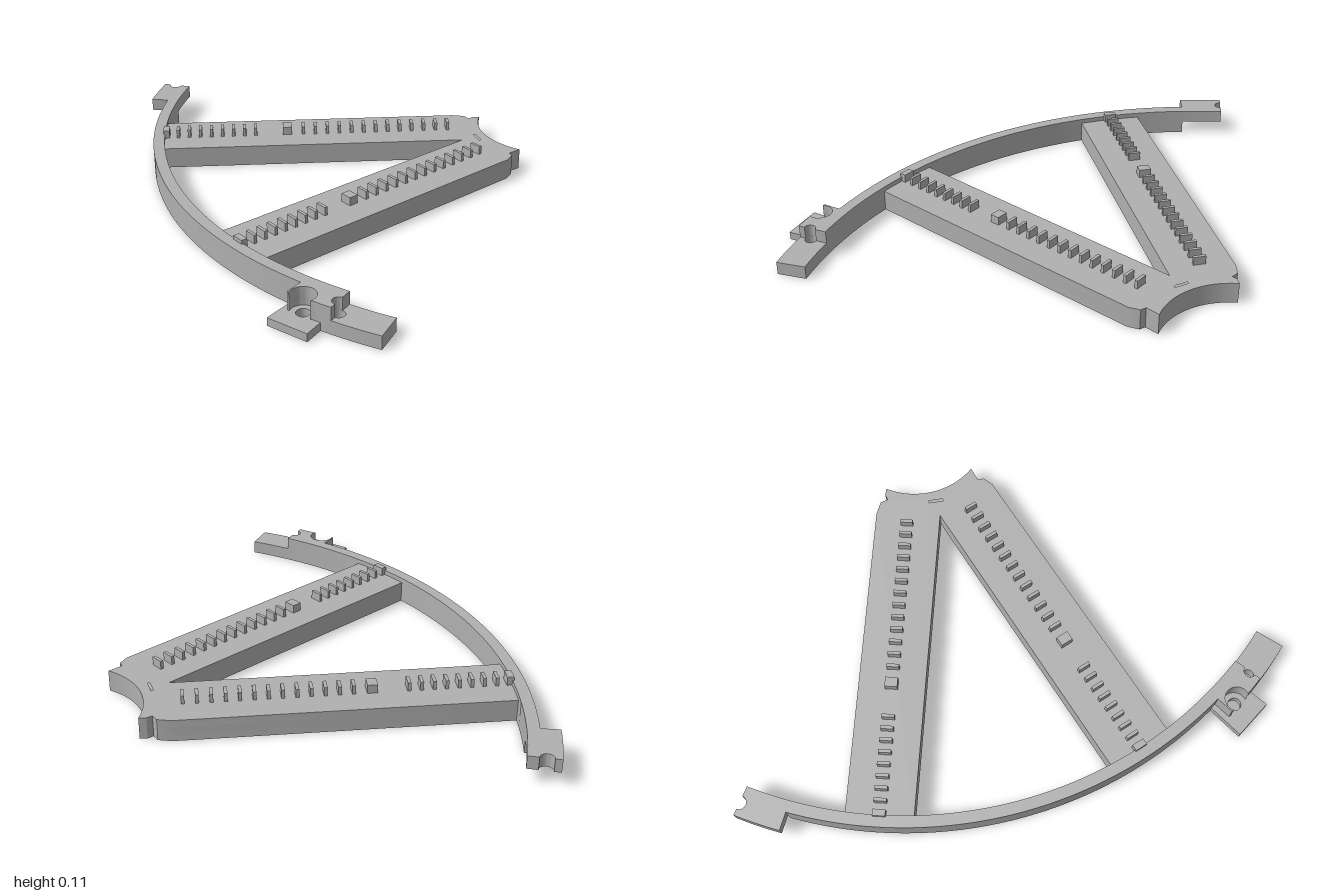
import * as THREE from 'three';
import { toCreasedNormals } from 'three/addons/utils/BufferGeometryUtils.js';

const RAD = Math.PI / 180;
const CX = 0.87, CZ = -0.36; // common centre of rim, hub and spokes
const R_IN = 1.528, R_OUT = 1.571, R_WIDE = 1.638;
const SPOKES = [-5.1, 31.2]; // spoke directions in degrees

// Polar position about the centre: 0 degrees points to -x, positive turns to +z
const polar = (r, deg) => [CX - r * Math.cos(deg * RAD), CZ + r * Math.sin(deg * RAD)];

function arc(r, a0, a1, n = 24) {
  return Array.from({ length: n + 1 }, (_, i) => polar(r, a0 + (a1 - a0) * i / n));
}

// Small circular arc around a polar position
function bite(rc, ac, rho, t0, t1, n = 20) {
  return Array.from({ length: n + 1 }, (_, i) => {
    const t = (t0 + (t1 - t0) * i / n) * RAD;
    return polar(rc + rho * Math.cos(t), ac + rho * Math.sin(t) / rc / RAD);
  });
}

// Position in a spoke's own frame: u outwards from the centre, v across
function spokePoint(deg, u, v) {
  const c = Math.cos(deg * RAD), s = Math.sin(deg * RAD);
  return [CX - u * c + v * s, CZ + u * s + v * c];
}

const toPoints = (list) => list.map(([x, z]) => new THREE.Vector2(x, -z));

// Upright slab with a plan outline and holes, from y0 to y1
function slab(outline, y0, y1, holes = []) {
  const shape = new THREE.Shape(toPoints(outline));
  holes.forEach((h) => shape.holes.push(new THREE.Path(toPoints(h))));
  const g = new THREE.ExtrudeGeometry(shape, { depth: y1 - y0, bevelEnabled: false });
  g.rotateX(-Math.PI / 2).translate(0, y0, 0);
  return toCreasedNormals(g, 0.4);
}

export function createModel() {
  const model = new THREE.Group();
  const grey = new THREE.MeshStandardMaterial({ color: 0xb0b0b0 });
  grey.name = 'grey';
  const add = (name, geometry, parent = model) => {
    const mesh = new THREE.Mesh(geometry, grey);
    mesh.name = name;
    parent.add(mesh);
    return mesh;
  };

  // Curved rim
  add('rim', slab([...arc(R_IN, -17.05, 45, 64), ...arc(R_OUT, 45, -17.05, 64)], 0, 0.098));

  // Raised rear connector with a half-round notch in its end
  add('rearConnector', slab([
    ...arc(R_IN, -17.05, -23.1, 8),
    ...bite(1.59, -23.1, 0.024, 180, 0),
    ...arc(R_WIDE, -23.1, -17.05, 8),
  ], 0.05, 0.098));

  // Front connector: low tongue, upper block and side tab around a round pocket
  const pocket = bite(1.622, 45.35, 0.045, 66.4, 293.6);
  const pinHole = bite(1.593, 49.4, 0.022, 0, 342, 19);
  add('frontTongue', slab([
    ...arc(R_IN, 43.6, 55.5, 12), ...arc(R_WIDE, 55.5, 47, 8), ...pocket, polar(R_WIDE, 43.6),
  ], 0, 0.05, [pinHole]));
  add('frontBlock', slab([
    ...arc(R_IN, 43.6, 49.4, 8),
    ...bite(1.593, 49.4, 0.022, 180, 360),
    ...arc(R_WIDE, 49.4, 47, 4), ...pocket, polar(R_WIDE, 43.6),
  ], 0.05, 0.098));
  add('frontTab', slab([
    polar(1.56, 42.85), polar(1.56, 48.05), polar(1.711, 48.05), polar(1.711, 42.85),
  ], 0, 0.03, [bite(1.622, 45.35, 0.024, 0, 342, 19)]));

  // Two spokes joined at a concave hub, hollow underneath
  const [a, b] = SPOKES;
  const outline = [
    spokePoint(a, 1.545, -0.122), [0.519, -0.513], [0.566, -0.497], [0.577, -0.471], [0.598, -0.48],
    ...arc(0.272, -25.2, 51.3),
    [0.651, -0.122], [0.656, -0.1], [0.63, -0.067],
    spokePoint(b, 1.545, 0.122), spokePoint(b, 1.545, -0.122),
    [0.503, -0.27], spokePoint(a, 1.545, 0.122),
  ];
  const slot = [[0.558, -0.312], [0.567, -0.312], [0.574, -0.258], [0.565, -0.258]];
  const channels = SPOKES.map((d) => [
    spokePoint(d, 0.355, -0.098), spokePoint(d, 1.5, -0.098),
    spokePoint(d, 1.5, 0.098), spokePoint(d, 0.355, 0.098),
  ]);
  add('spokeTop', slab(outline, 0.055, 0.08, [slot]));
  add('spokeWalls', slab(outline, 0, 0.055, [slot, ...channels]));

  // Rows of small teeth along each spoke: [distance from centre, width]
  const teeth = [[1.522, 0.024], [1.044, 0.036]];
  for (let i = 0; i < 8; i++) teeth.push([1.476 - 0.0436 * i, 0.012]);
  for (let i = 0; i < 13; i++) teeth.push([0.981 - 0.0482 * i, 0.012]);
  SPOKES.forEach((deg, k) => {
    const row = new THREE.Group();
    row.name = k ? 'frontTeeth' : 'rearTeeth';
    teeth.forEach(([u, w]) => {
      const tooth = add('tooth', new THREE.BoxGeometry(w, 0.035, 0.046), row);
      const [x, z] = spokePoint(deg, u, 0);
      tooth.position.set(x, 0.0945, z);
      tooth.rotation.y = deg * RAD;
    });
    model.add(row);
  });

  return model;
}
